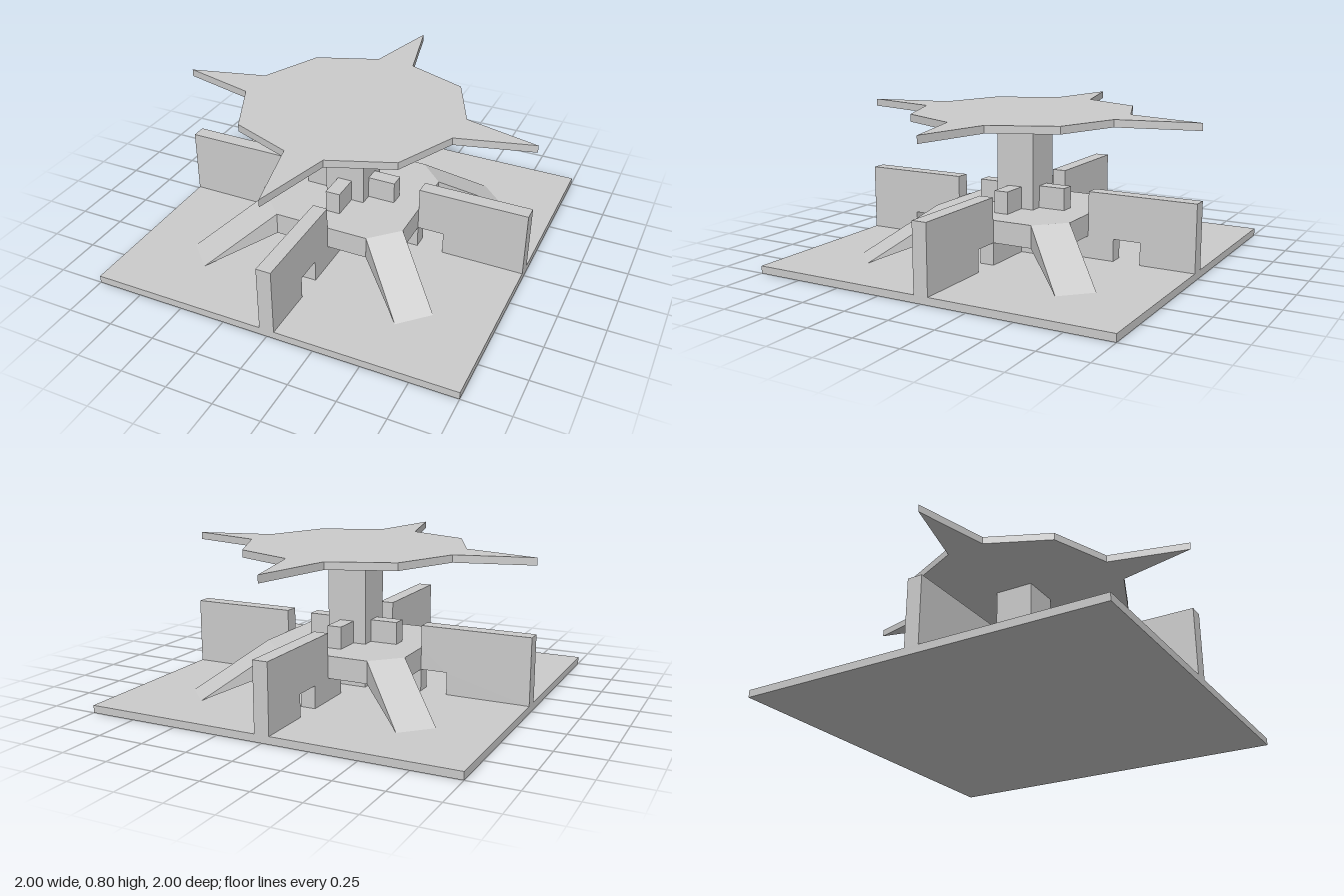
import * as THREE from 'three';

const material = new THREE.MeshStandardMaterial({ color: 0xcccccc, flatShading: true });

function add(group, name, geometry) {
  const mesh = new THREE.Mesh(geometry, material);
  mesh.name = name;
  group.add(mesh);
  return mesh;
}

function extrude(points, depth) {
  const shape = new THREE.Shape(points.map(([x, y]) => new THREE.Vector2(x, y)));
  return new THREE.ExtrudeGeometry(shape, { depth, bevelEnabled: false });
}

// Horizontal slab from an outline, resting at height y
function slab(points, y, height) {
  return extrude(points, height).rotateX(-Math.PI / 2).translate(0, y, 0);
}

// Repeats a first-quadrant outline around all four quadrants
function mirrorQuadrants(quadrant) {
  const back = [...quadrant].reverse();
  return [
    ...quadrant,
    ...back.map(([x, y]) => [-x, y]),
    ...quadrant.map(([x, y]) => [-x, -y]),
    ...back.map(([x, y]) => [x, -y]),
  ];
}

export function createModel() {
  const group = new THREE.Group();

  // Ground slab and central column
  add(group, 'base', new THREE.BoxGeometry(2, 0.04, 2).translate(0, 0.02, 0));
  add(group, 'column', new THREE.BoxGeometry(0.22, 0.72, 0.22).translate(0, 0.4, 0));

  // Raised octagonal platform
  add(group, 'platform', slab(mirrorQuadrants([[0.405, 0.26], [0.26, 0.405]]), 0.16, 0.12));

  // Star-shaped roof: four long tips around a faceted disc
  const roof = [];
  for (let i = 0; i < 4; i++) {
    const a = (i * Math.PI) / 2;
    const side = i % 2 ? [[1, 0], [0.57, 0.107], [0.44, 0.44]] : [[1, 0], [0.593, 0.105], [0.44, 0.44]];
    const next = i % 2 ? [0.107, 0.593] : [0.105, 0.57];
    for (const [x, y] of [...side, next]) {
      roof.push([x * Math.cos(a) - y * Math.sin(a), x * Math.sin(a) + y * Math.cos(a)]);
    }
  }
  add(group, 'roof', slab(roof, 0.76, 0.04));

  // Walls with low doorways, split above the platform by a walkway gap
  const top = [[1, 0.04], [1, 0.4], [0.405, 0.4], [0.405, 0.28], [0.26, 0.28], [0.26, 0.4], [0.1, 0.4]];
  const sideWall = [[0.1, 0.04], [0.405, 0.04], [0.405, 0.16], [0.55, 0.16], [0.55, 0.04], ...top];
  const endWall = [[0.1, 0.16], [0.26, 0.16], [0.26, 0.04], [0.55, 0.04], [0.55, 0.16],
    [0.7, 0.16], [0.7, 0.04], ...top];
  ['leftWall', 'backWall', 'rightWall', 'frontWall'].forEach((name, i) => {
    const geometry = extrude(i % 2 ? endWall : sideWall, 0.08).translate(0, 0, -0.04);
    add(group, name, geometry).rotation.y = (i * Math.PI) / 2;
  });

  // Four wedge ramps descending diagonally from the platform
  const inner = 0.665 * Math.SQRT1_2;
  const outer = 1.245 * Math.SQRT1_2;
  const ramp = [[inner, 0.16], [outer, 0.04], [inner, 0.28]];
  for (let i = 0; i < 4; i++) {
    const geometry = extrude(ramp, 0.205).translate(0, 0, -0.1025);
    add(group, 'ramp', geometry).rotation.y = Math.PI / 4 + (i * Math.PI) / 2;
  }

  return group;
}
